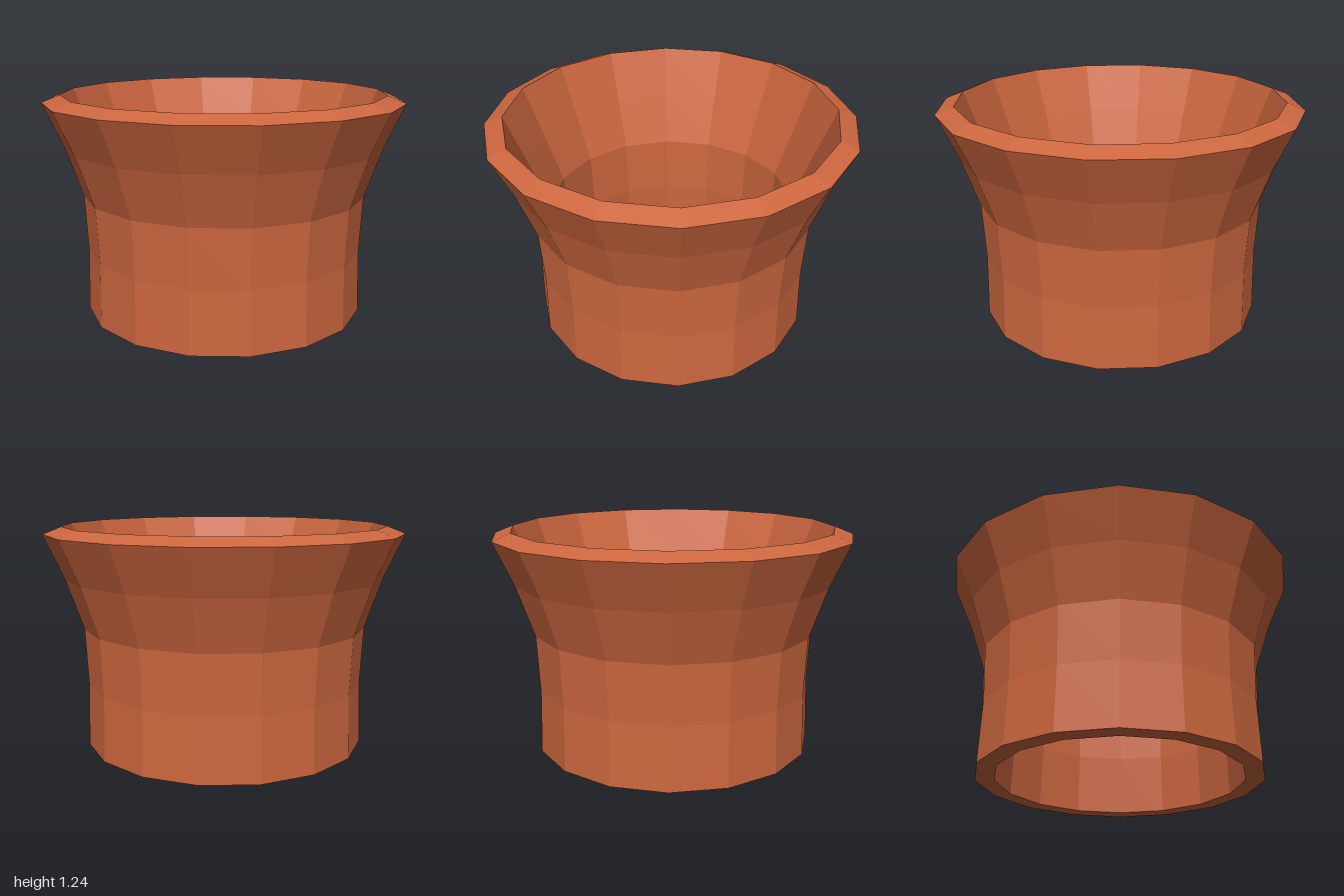
import * as THREE from 'three';

export function createModel() {
  const model = new THREE.Group();
  model.name = 'flaredPot';

  const terracotta = new THREE.MeshStandardMaterial({ color: 0xcd673f, flatShading: true });
  terracotta.name = 'terracotta';

  // Closed wall section as [radius, height]: up the outside, over the rim, down the inside
  const profile = [
    [0.79, 0], [0.78, 0.35], [0.795, 0.67], [0.89, 0.95], [1, 1.195],
    [0.9, 1.235],
    [0.795, 0.96], [0.69, 0.68], [0.675, 0.35], [0.685, 0], [0.79, 0],
  ].map(([r, y]) => new THREE.Vector2(r, y));

  // Sixteen-sided open collar
  const collar = new THREE.Mesh(new THREE.LatheGeometry(profile, 16), terracotta);
  collar.name = 'flaredCollar';
  model.add(collar);

  return model;
}
